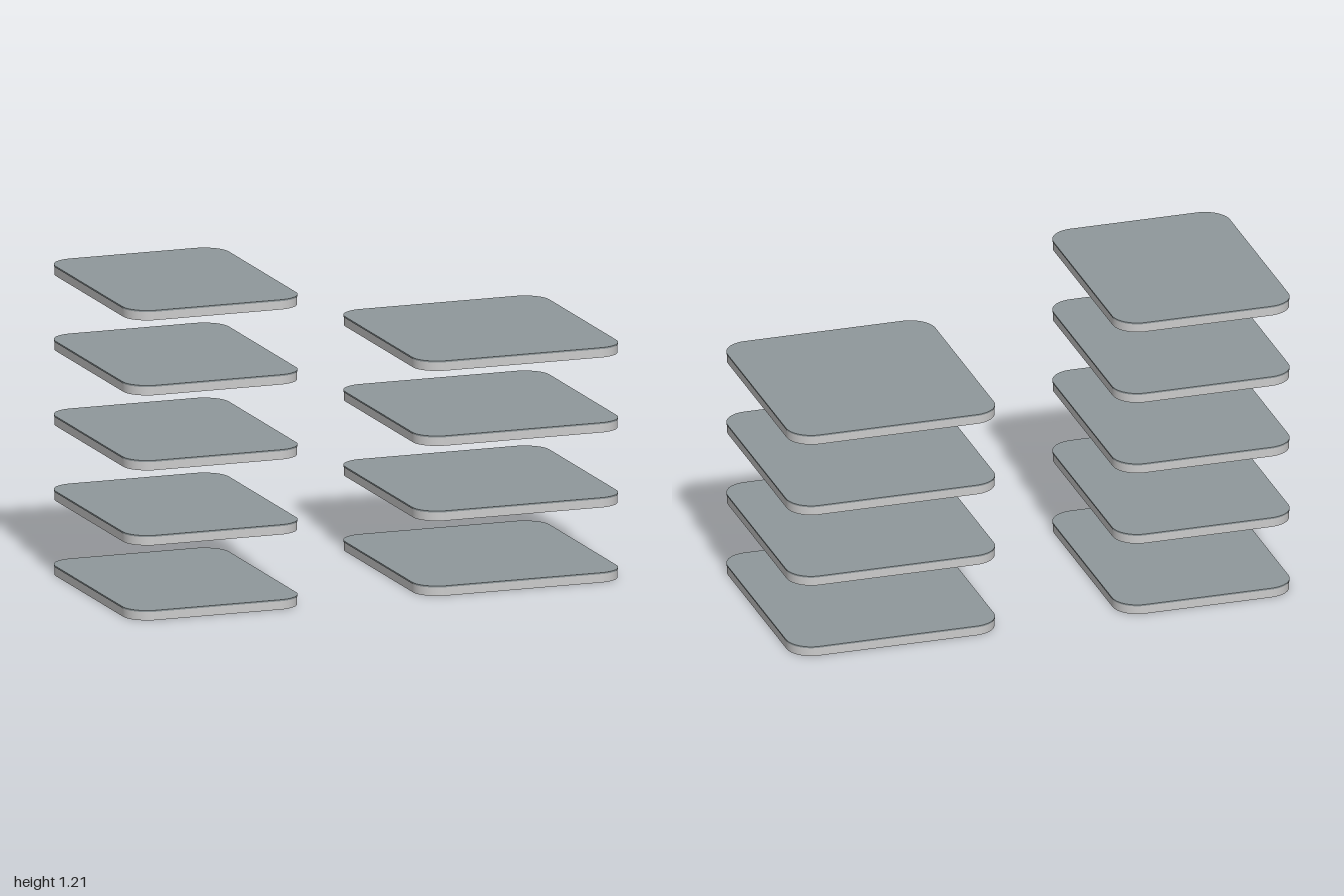
import * as THREE from 'three';

const RADIUS = 0.1, PITCH = 0.292, BASE_H = 0.033, TOP_H = 0.006, INSET = 0.002;

// Flat slab with rounded corners, standing on y = 0
function slab(w, d, r, h) {
  const x = w / 2, y = d / 2;
  const s = new THREE.Shape();
  s.absarc(x - r, y - r, r, 0, Math.PI / 2);
  s.absarc(-x + r, y - r, r, Math.PI / 2, Math.PI);
  s.absarc(-x + r, -y + r, r, Math.PI, Math.PI * 1.5);
  s.absarc(x - r, -y + r, r, Math.PI * 1.5, Math.PI * 2);
  s.closePath();
  const g = new THREE.ExtrudeGeometry(s, { depth: h, bevelEnabled: false, curveSegments: 12 });
  g.rotateX(-Math.PI / 2);

  // Smooth side normals: radial in the corners, straight along the edges
  const p = g.attributes.position, n = g.attributes.normal;
  const v = new THREE.Vector3();
  for (let i = 0; i < p.count; i++) {
    if (Math.abs(n.getY(i)) > 0.5) continue;
    const px = p.getX(i), pz = p.getZ(i);
    v.set(
      Math.sign(px) * Math.max(0, Math.abs(px) - (x - r)), 0,
      Math.sign(pz) * Math.max(0, Math.abs(pz) - (y - r))
    ).normalize();
    n.setXYZ(i, v.x, v.y, v.z);
  }
  return g;
}

export function createModel() {
  const model = new THREE.Group();
  model.name = 'trayStacks';
  const baseMat = new THREE.MeshStandardMaterial({ color: 0xcccccc });
  const topMat = new THREE.MeshStandardMaterial({ color: 0x90999c });

  // Two columns of evenly spaced slabs
  const columns = [
    { name: 'rightStack', x0: -1, x1: -0.298, depth: 0.928, count: 5 },
    { name: 'leftStack', x0: 0.173, x1: 1, depth: 0.928, count: 4 },
  ];
  for (const { name, x0, x1, depth, count } of columns) {
    const stack = new THREE.Group();
    stack.name = name;
    stack.position.x = (x0 + x1) / 2;
    const w = x1 - x0;
    const baseGeo = slab(w - 2 * INSET, depth - 2 * INSET, RADIUS - INSET, BASE_H);
    const topGeo = slab(w, depth, RADIUS, TOP_H);
    for (let i = 0; i < count; i++) {
      const shelf = new THREE.Group();
      shelf.name = 'shelf' + (i + 1);
      shelf.position.y = i * PITCH;
      // Thick base with a thin covering sheet
      const base = new THREE.Mesh(baseGeo, baseMat);
      base.name = 'shelfBase';
      const top = new THREE.Mesh(topGeo, topMat);
      top.name = 'shelfTop';
      top.position.y = BASE_H;
      shelf.add(base, top);
      stack.add(shelf);
    }
    model.add(stack);
  }
  return model;
}
